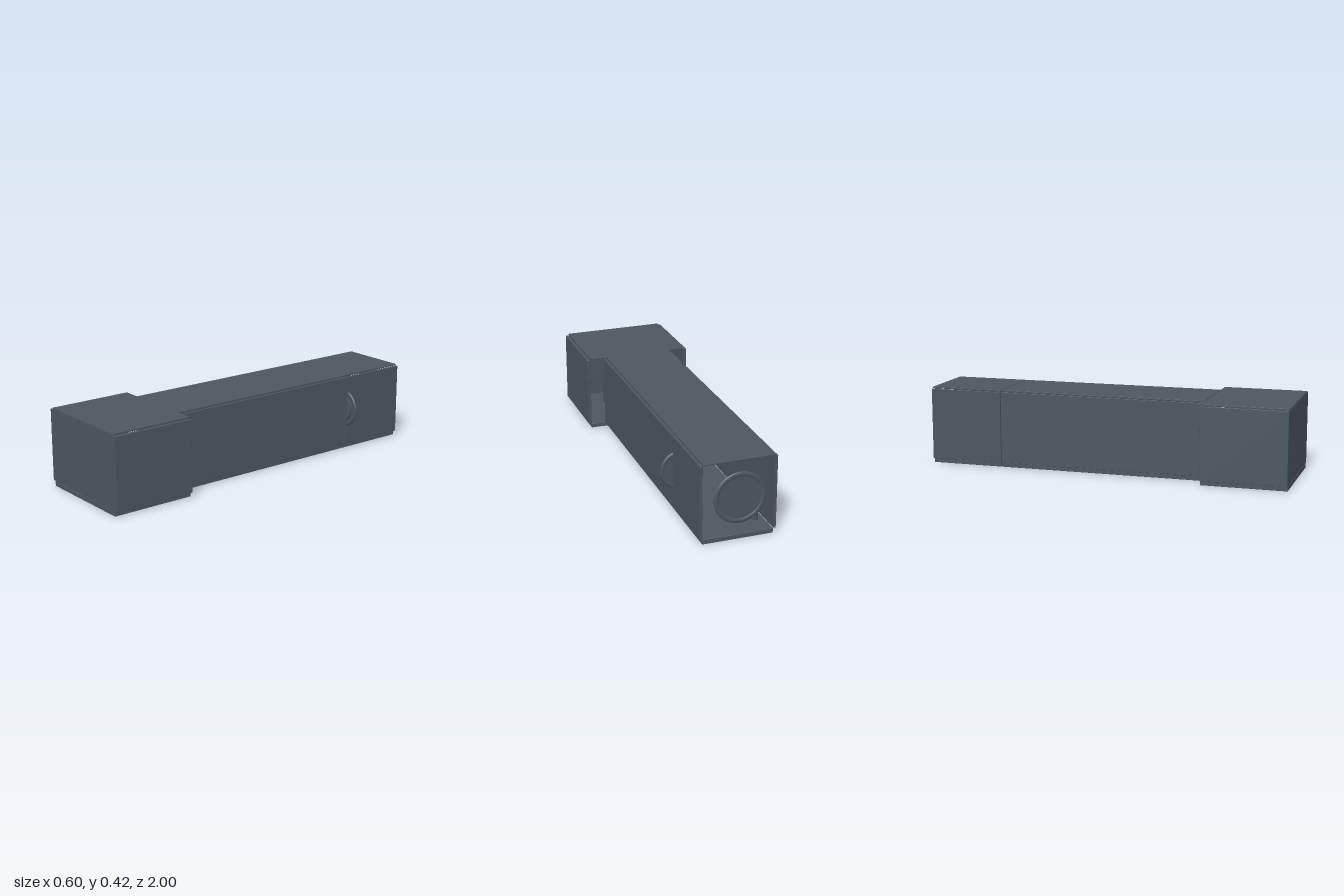
import * as THREE from 'three';
import { RoundedBoxGeometry } from 'three/addons/geometries/RoundedBoxGeometry.js';

export function createModel() {
  const model = new THREE.Group();
  const slate = new THREE.MeshStandardMaterial({ color: 0x4d565f });

  const add = (parent, name, geometry, x, y, z) => {
    const mesh = new THREE.Mesh(geometry, slate);
    mesh.name = name;
    mesh.position.set(x, y, z);
    parent.add(mesh);
    return mesh;
  };

  // slightly bevelled panel given by its limits
  const panel = (parent, name, x0, x1, y0, y1, z0, z1) =>
    add(parent, name, new RoundedBoxGeometry(x1 - x0, y1 - y0, z1 - z0, 1, 0.002),
      (x0 + x1) / 2, (y0 + y1) / 2, (z0 + z1) / 2);

  // open tube of floor, ceiling and two side walls
  const section = (name, inner, outer, z0, z1) => {
    const group = new THREE.Group();
    group.name = name;
    panel(group, 'floor', -inner, inner, 0, 0.024, z0, z1);
    panel(group, 'ceiling', -inner, inner, 0.414, 0.423, z0, z1);
    for (const s of [-1, 1]) {
      const a = s * inner, b = s * outer;
      panel(group, 'sideWall', Math.min(a, b), Math.max(a, b), 0.026, 0.414, z0, z1);
    }
    model.add(group);
    return group;
  };

  const room = section('frontRoom', 0.28, 0.298, 0.543, 0.998);
  panel(room, 'frontWall', -0.28, 0.28, 0.026, 0.414, 0.978, 0.998);
  section('corridor', 0.185, 0.2, -0.583, 0.54);
  const rear = section('rearCompartment', 0.185, 0.2, -0.987, -0.586);

  // table with a round top inside the front room
  panel(room, 'tableBase', -0.12, 0.12, 0.024, 0.17, 0.68, 0.84);
  add(room, 'tableTop', new THREE.CylinderGeometry(0.08, 0.08, 0.015, 32), 0, 0.19, 0.76);
  add(room, 'tableStem', new THREE.CylinderGeometry(0.02, 0.02, 0.03, 16), 0, 0.175, 0.76);

  // small canisters along one wall of the rear compartment
  for (let i = 0; i < 3; i++) {
    add(rear, 'canister', new THREE.CylinderGeometry(0.018, 0.018, 0.1, 16), -0.14, 0.074, -0.86 + i * 0.07);
  }

  // round hatch: flat disc in a flattened ring
  const hatch = (name, radius, tube, depth, x, y, z) => {
    const group = new THREE.Group();
    group.name = name;
    group.position.set(x, y, z);
    const ring = add(group, 'ring', new THREE.TorusGeometry(radius - tube, tube, 12, 48), 0, 0, 0);
    ring.scale.z = depth / (2 * tube);
    const disc = add(group, 'disc', new THREE.CylinderGeometry(radius - tube, radius - tube, depth * 0.5, 48), 0, 0, 0);
    disc.rotation.x = Math.PI / 2;
    model.add(group);
    return group;
  };
  hatch('rearHatch', 0.136, 0.013, 0.014, -0.004, 0.226, -0.993);
  const side = hatch('sideHatch', 0.104, 0.011, 0.016, 0.163, 0.23, -0.61);
  const hub = add(side, 'hub', new THREE.CylinderGeometry(0.072, 0.072, 0.012, 40), 0, 0, 0.009);
  hub.rotation.x = Math.PI / 2;

  return model;
}
